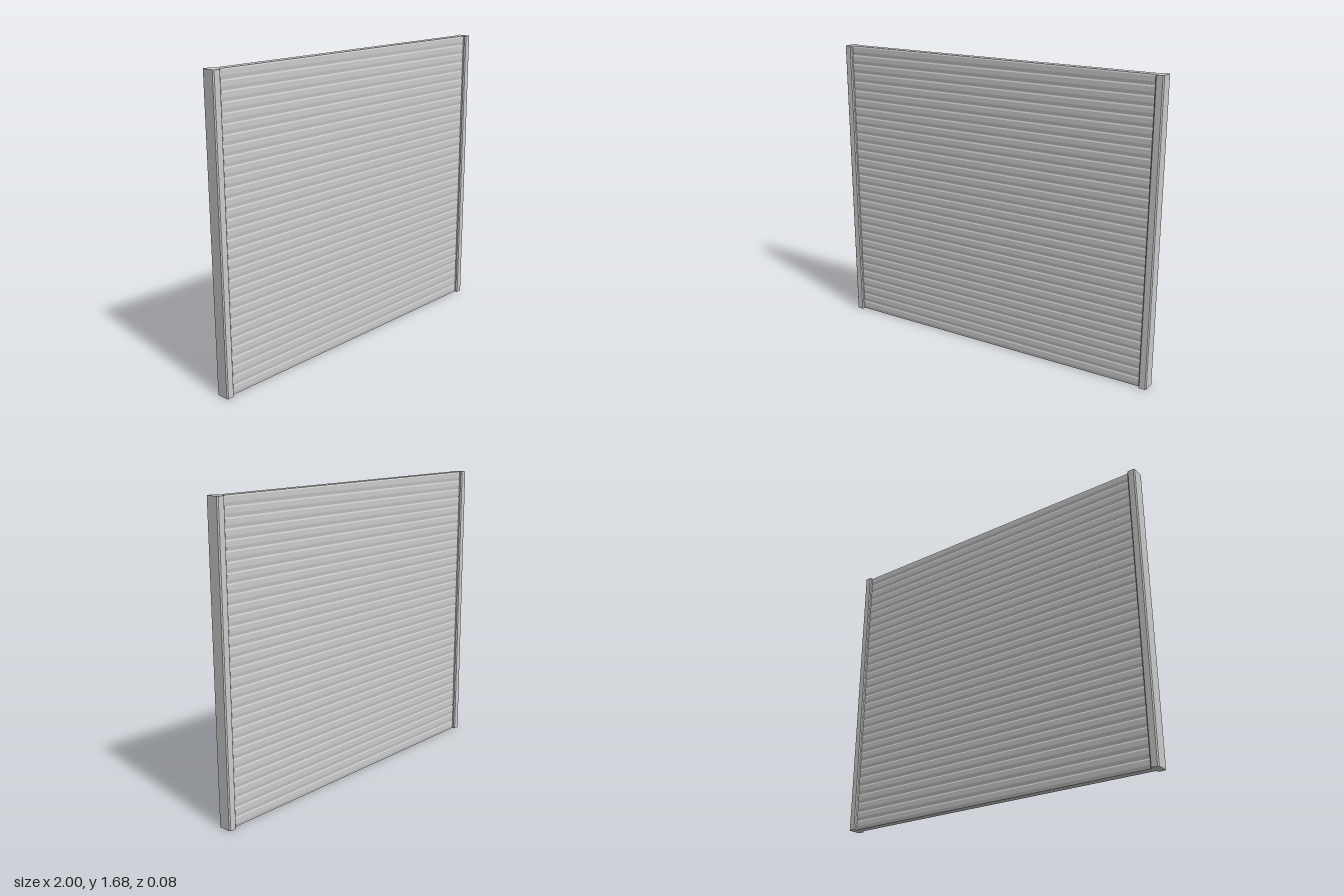
import * as THREE from 'three';

const HEIGHT = 1.68, SLATS = 32, HALF_SPAN = 0.96;

// Extrude a closed outline along its local z, centred
function extrude(points, length) {
  const shape = new THREE.Shape(points.map(([x, y]) => new THREE.Vector2(x, y)));
  const geometry = new THREE.ExtrudeGeometry(shape, { depth: length, bevelEnabled: false });
  geometry.translate(0, 0, -length / 2);
  return geometry;
}

export function createModel() {
  const model = new THREE.Group();
  const material = new THREE.MeshStandardMaterial({ color: 0xcccccc, flatShading: true });

  // Curtain: stacked slats, each with a narrow sloped ledge along its top, on both sides
  const pitch = HEIGHT / SLATS;
  const face = [];
  for (let i = 0; i < SLATS; i++) {
    const y = i * pitch;
    face.push([0.022, y], [0.025, y + pitch * 0.35], [0.025, y + pitch * 0.85], [0.022, y + pitch * 0.99]);
  }
  face.push([0.022, HEIGHT]);
  const outline = [...face, ...face.map(([z, y]) => [-z, y]).reverse()];
  const curtain = new THREE.Mesh(extrude(outline, HALF_SPAN * 2), material);
  curtain.rotation.y = Math.PI / 2;
  curtain.name = 'slattedPanel';
  model.add(curtain);

  // Side rails: upright posts with chamfered corners
  const x0 = 0.955, x1 = 1, z = 0.04, c = 0.006;
  const section = [
    [x0 + c, -z], [x1 - c, -z], [x1, -z + c], [x1, z - c],
    [x1 - c, z], [x0 + c, z], [x0, z - c], [x0, -z + c],
  ];
  for (const side of [1, -1]) {
    const rail = new THREE.Mesh(extrude(section.map(([x, d]) => [x * side, d]), HEIGHT), material);
    rail.rotation.x = -Math.PI / 2;
    rail.position.y = HEIGHT / 2;
    rail.name = side > 0 ? 'leftRail' : 'rightRail';
    model.add(rail);
  }
  return model;
}
